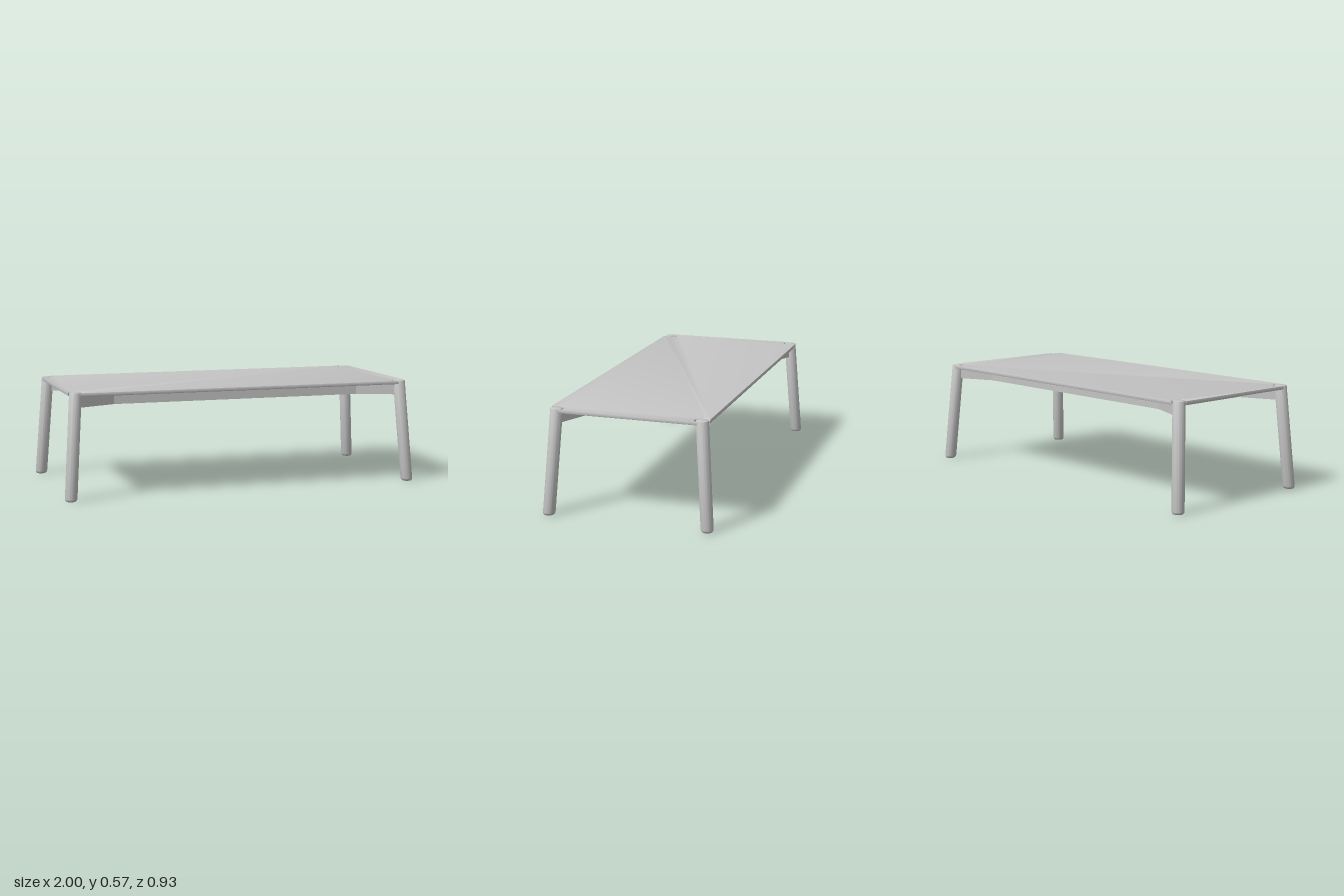
import * as THREE from 'three';
import { toCreasedNormals } from 'three/addons/utils/BufferGeometryUtils.js';

const HEIGHT = 0.57;
const LEG_TOP = { x: 0.926, z: 0.391 };
const LEAN = 0.041; // how far each foot stands out from its leg top
const CORNERS = [[1, 1], [-1, 1], [-1, -1], [1, -1]];

// Thin slab with a round notch at each corner for the leg
function topGeometry() {
  const notch = 0.039, inset = 0.035, bevel = 0.005, thickness = 0.019;
  const a = Math.acos(inset / notch);
  const shape = new THREE.Shape();
  CORNERS.forEach(([sx, sz], k) => {
    const turn = k * Math.PI / 2;
    shape.absarc(sx * LEG_TOP.x, sz * LEG_TOP.z, notch, turn - a, turn + a - 1.5 * Math.PI, true);
  });
  shape.closePath();
  const geo = new THREE.ExtrudeGeometry(shape, {
    depth: thickness - 2 * bevel, bevelThickness: bevel, bevelSize: bevel,
    bevelOffset: -bevel, bevelSegments: 3, curveSegments: 20,
  });
  geo.rotateX(Math.PI / 2);
  geo.translate(0, HEIGHT - bevel, 0);
  return toCreasedNormals(geo, 0.6);
}

// Round leg, sheared outwards so both ends stay level
function legGeometry(sx, sz) {
  const r = 0.033;
  const profile = [
    [0, 0], [r - 0.014, 0], [r - 0.007, 0.002], [r - 0.002, 0.008], [r, 0.016],
    [r, HEIGHT - 0.004], [r - 0.001, HEIGHT - 0.001], [r - 0.003, HEIGHT], [0, HEIGHT],
  ].map(([x, y]) => new THREE.Vector2(x, y));
  const geo = new THREE.LatheGeometry(profile, 40);
  const p = geo.attributes.position;
  for (let i = 0; i < p.count; i++) {
    const shift = LEAN * (1 - p.getY(i) / HEIGHT);
    p.setX(i, p.getX(i) + sx * (LEG_TOP.x + shift));
    p.setZ(i, p.getZ(i) + sz * (LEG_TOP.z + shift));
  }
  return toCreasedNormals(geo, 0.7);
}

export function createModel() {
  const model = new THREE.Group();
  model.name = 'lowTable';
  const grey = new THREE.MeshStandardMaterial({ color: 0xc4c4c4 });
  grey.name = 'lightGrey';

  const add = (name, geo, parent = model) => {
    const mesh = new THREE.Mesh(geo, grey);
    mesh.name = name;
    parent.add(mesh);
    return mesh;
  };

  add('tableTop', topGeometry());

  for (const [sx, sz] of CORNERS) {
    add(`${sz > 0 ? 'front' : 'back'}${sx > 0 ? 'Left' : 'Right'}Leg`, legGeometry(sx, sz));
  }

  // Underframe: two crossing diagonals and a rectangle of rails
  const frame = new THREE.Group();
  frame.name = 'underframe';
  model.add(frame);
  const railX = 0.7, railZ = 0.297, width = 0.025, bottom = 0.49, top = 0.552;
  const beam = (name, x0, z0, x1, z1) => {
    const dx = x1 - x0, dz = z1 - z0;
    const mesh = add(name, new THREE.BoxGeometry(Math.hypot(dx, dz), top - bottom, width), frame);
    mesh.position.set((x0 + x1) / 2, (bottom + top) / 2, (z0 + z1) / 2);
    mesh.rotation.y = -Math.atan2(dz, dx);
  };
  for (const s of [1, -1]) {
    beam('diagonalBeam', -LEG_TOP.x, -s * LEG_TOP.z, LEG_TOP.x, s * LEG_TOP.z);
    beam('longRail', -railX, s * railZ, railX, s * railZ);
    beam('crossRail', s * railX, -railZ, s * railX, railZ);
  }
  return model;
}
